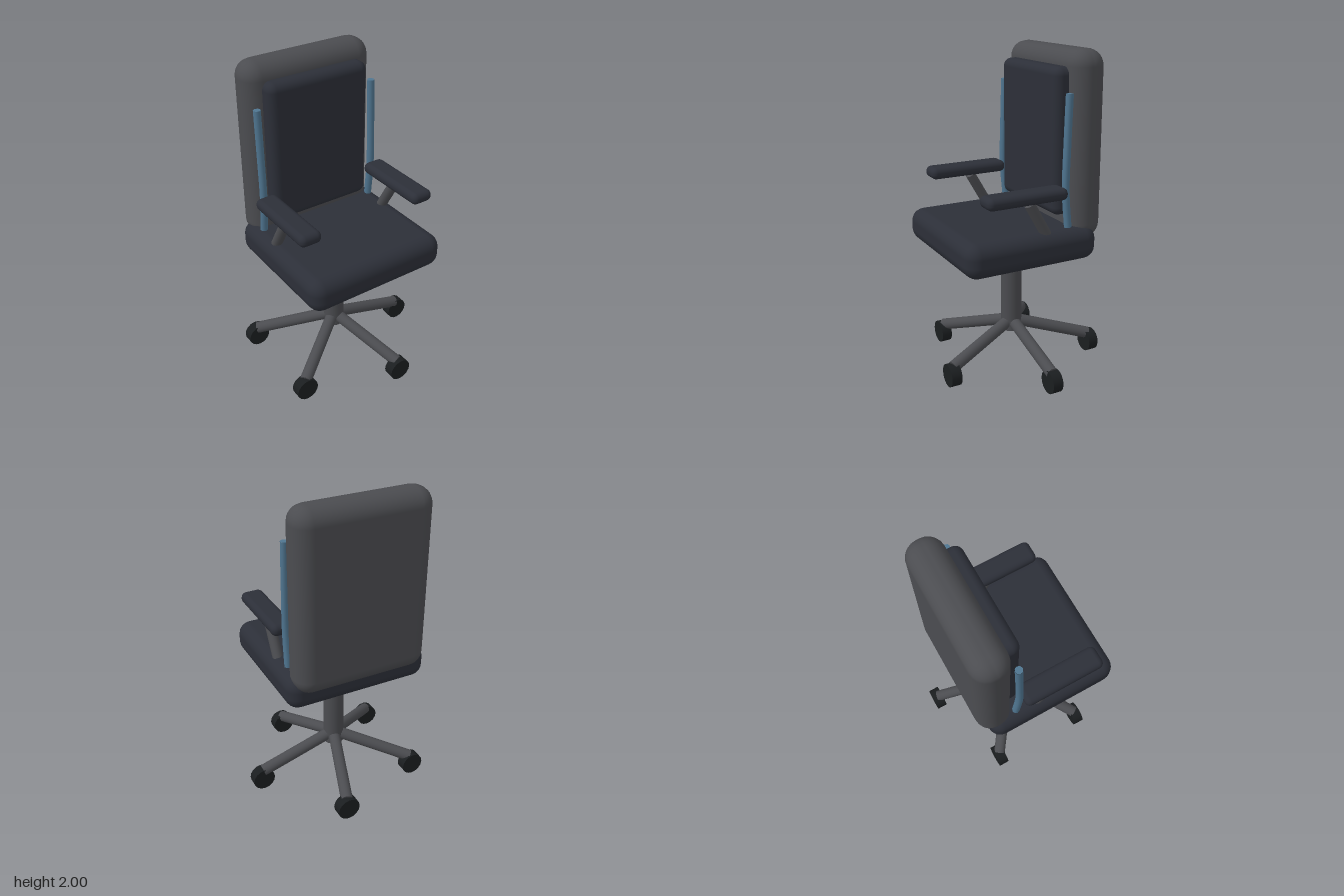
import * as THREE from 'three';
import { RoundedBoxGeometry } from 'three/addons/geometries/RoundedBoxGeometry.js';

const material = (color) => new THREE.MeshStandardMaterial({ color });
const fabric = material(0x2c2f38);
const frame = material(0x4b4c50);
const rubber = material(0x1b1e20);
const steel = material(0x4f7590);

const AXIS_X = -0.053; // the chair's own centre line

function createPart(parent, name, geometry, mat, x = 0, y = 0, z = 0) {
  const mesh = new THREE.Mesh(geometry, mat);
  mesh.name = name;
  mesh.position.set(x, y, z);
  parent.add(mesh);
  return mesh;
}

// Rounded cushion given by its extents
function pad(parent, name, mat, [x0, x1], [y0, y1], [z0, z1], radius) {
  const geometry = new RoundedBoxGeometry(x1 - x0, y1 - y0, z1 - z0, 3, radius);
  return createPart(parent, name, geometry, mat, (x0 + x1) / 2, (y0 + y1) / 2, (z0 + z1) / 2);
}

// Straight round bar between two points
function bar(parent, name, mat, from, to, radius, sides = 16) {
  const dir = to.clone().sub(from);
  const geometry = new THREE.CylinderGeometry(radius, radius, dir.length(), sides);
  const mid = from.clone().add(to).multiplyScalar(0.5);
  const mesh = createPart(parent, name, geometry, mat, mid.x, mid.y, mid.z);
  mesh.quaternion.setFromUnitVectors(new THREE.Vector3(0, 1, 0), dir.normalize());
  return mesh;
}

const v = (x, y, z) => new THREE.Vector3(x, y, z);

export function createModel() {
  const group = new THREE.Group();
  group.name = 'officeChair';
  const chair = new THREE.Group();
  chair.name = 'chair';
  chair.position.x = AXIS_X;
  group.add(chair);

  // Seat and back
  pad(chair, 'seat', fabric, [-0.457, 0.457], [0.767, 0.975], [-0.35, 0.503], 0.08);
  pad(chair, 'backrest', frame, [-0.422, 0.422], [0.88, 2], [-0.408, -0.19], 0.1);
  pad(chair, 'backCushion', fabric, [-0.332, 0.332], [1.03, 1.9], [-0.27, -0.11], 0.05);

  // Armrests, their slanted supports and the side tubes
  for (const [label, side] of [['left', 1], ['right', -1]]) {
    const arm = new THREE.Group();
    arm.name = label + 'Arm';
    chair.add(arm);
    const inner = side * 0.317, outer = side * 0.457;
    pad(arm, 'armrest', fabric, [Math.min(inner, outer), Math.max(inner, outer)],
      [1.162, 1.235], [-0.134, 0.38], 0.034);
    const x = side * 0.387;
    bar(arm, 'armSupport', frame, v(x, 0.785, -0.12), v(x, 1.155, 0.092), 0.032);

    const path = new THREE.CatmullRomCurve3([
      v(x, 0.98, -0.168), v(x, 1.2, -0.149), v(x, 1.48, -0.154), v(x, 1.76, -0.163),
    ]);
    const tube = new THREE.TubeGeometry(path, 24, 0.023, 8);
    createPart(arm, 'sideTube', tube, steel);
    for (const [t, turn] of [[0, Math.PI / 2], [1, -Math.PI / 2]]) {
      const p = path.getPoint(t);
      const cap = createPart(arm, 'tubeCap', new THREE.CircleGeometry(0.022, 8), steel, p.x, p.y, p.z);
      cap.rotation.x = turn;
    }
  }

  // Column and five-legged base
  bar(chair, 'column', frame, v(0, 0.207, 0), v(0, 0.8, 0), 0.066, 24);
  for (let i = 0; i < 5; i++) {
    const a = (i * 2 * Math.PI) / 5;
    const c = Math.cos(a), s = Math.sin(a);
    bar(chair, 'baseLeg', frame, v(0, 0.27, 0), v(c * 0.512, 0.12, s * 0.512), 0.0375);
    const wheel = new THREE.CylinderGeometry(0.072, 0.072, 0.066, 16);
    wheel.rotateX(Math.PI / 2);
    createPart(chair, 'caster', wheel, rubber, c * 0.517, 0.072, s * 0.517);
  }
  return group;
}
